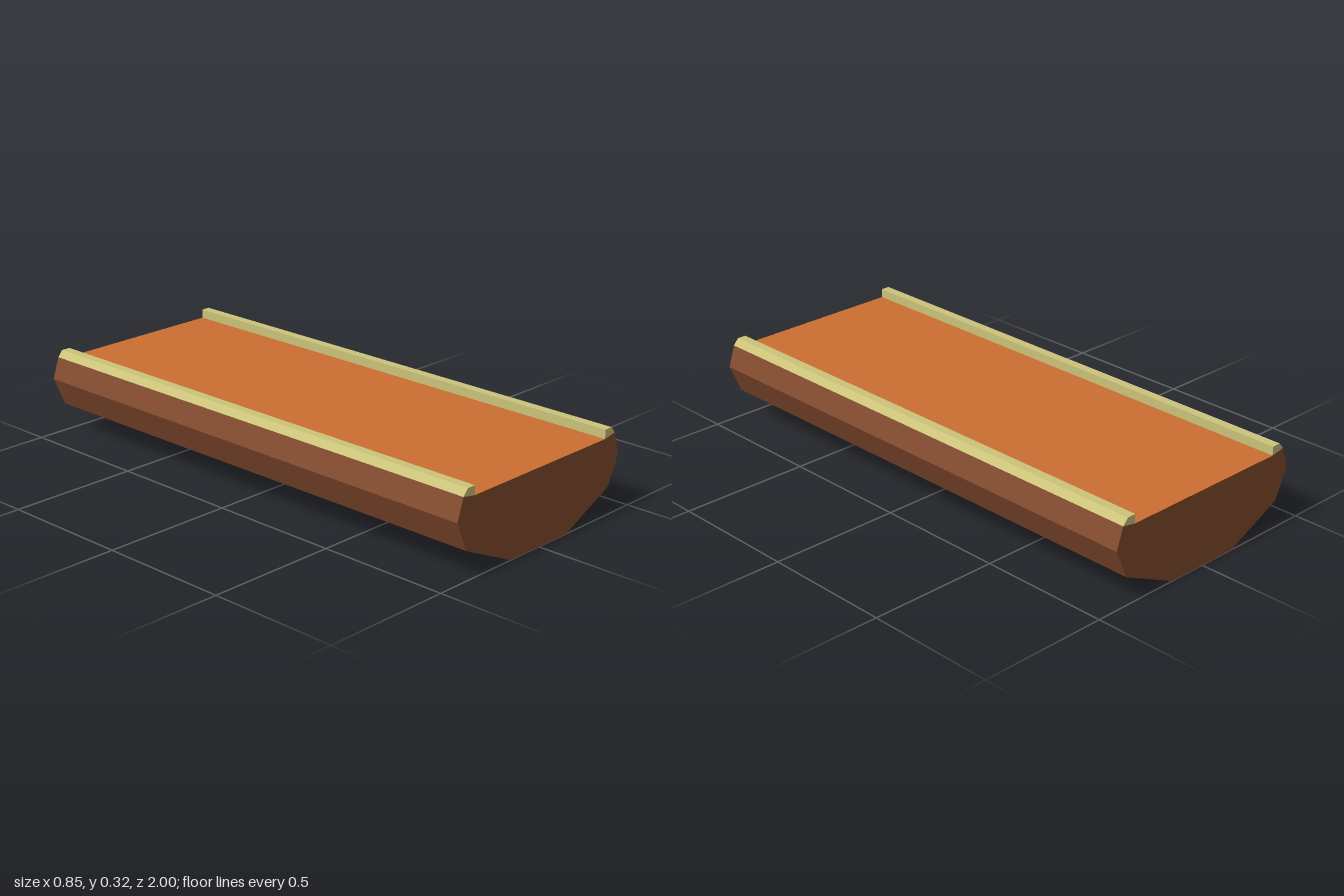
import * as THREE from 'three';

const LENGTH = 2;

function makeMaterial(name, color) {
  const material = new THREE.MeshStandardMaterial({ color });
  material.name = name;
  return material;
}

// Extrude a counter-clockwise cross-section along z, centred on z = 0
function extrudeSection(points) {
  const shape = new THREE.Shape(points.map(([x, y]) => new THREE.Vector2(x, y)));
  const geometry = new THREE.ExtrudeGeometry(shape, { depth: LENGTH, bevelEnabled: false });
  return geometry.translate(0, 0, -LENGTH / 2);
}

export function createModel() {
  const model = new THREE.Group();
  model.name = 'channelSegment';

  const brown = makeMaterial('brown', 0x844c2f);
  const orange = makeMaterial('orange', 0xcb6f33);
  const straw = makeMaterial('straw', 0xcbc37b);

  // Faceted hull: right half from the keel up to the deck edge, then mirrored
  const half = [[0.15, 0], [0.378, 0.106], [0.427, 0.217], [0.4, 0.298], [0.345, 0.288]];
  const mirrored = half.map(([x, y]) => [-x, y]).reverse();
  const hullGeometry = extrudeSection([...mirrored, ...half]);

  // The closing wall (last six vertices) is the flat deck
  const count = hullGeometry.attributes.position.count;
  hullGeometry.clearGroups();
  hullGeometry.addGroup(0, count - 6, 0);
  hullGeometry.addGroup(count - 6, 6, 1);
  const hull = new THREE.Mesh(hullGeometry, [brown, orange]);
  hull.name = 'hullWithDeck';
  model.add(hull);

  // Chamfered rails along both deck edges
  const rail = [[0.345, 0.288], [0.4, 0.298], [0.38, 0.322], [0.345, 0.322]];
  for (const [name, side] of [['leftRail', 1], ['rightRail', -1]]) {
    const section = rail.map(([x, y]) => [x * side, y]);
    if (side < 0) section.reverse();
    const mesh = new THREE.Mesh(extrudeSection(section), straw);
    mesh.name = name;
    model.add(mesh);
  }

  return model;
}
